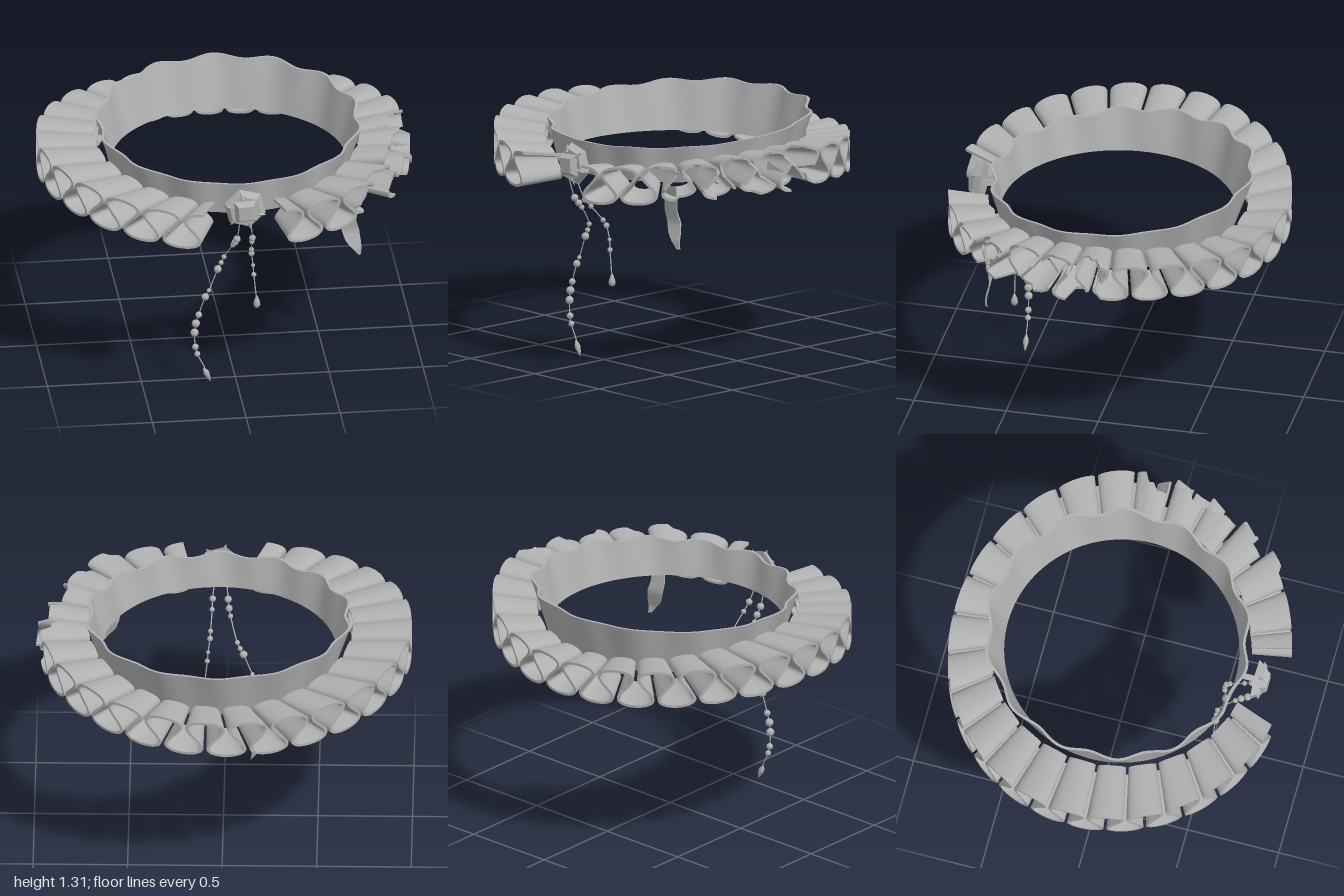
import * as THREE from 'three';
import { toCreasedNormals } from 'three/addons/utils/BufferGeometryUtils.js';

const V = (x, y, z) => new THREE.Vector3(x, y, z);
const RAD = Math.PI / 180;

// Skin a run of four-cornered cross-sections (inner top, outer top, outer bottom, inner bottom)
function loft(rings, closed) {
  const pos = rings.flat().flatMap(p => [p.x, p.y, p.z]);
  const n = rings.length, idx = [];
  for (let i = 0; i < (closed ? n : n - 1); i++) {
    const k = (i + 1) % n;
    for (let j = 0; j < 4; j++) {
      const m = (j + 1) % 4;
      const a = i * 4 + j, b = i * 4 + m, c = k * 4 + m, d = k * 4 + j;
      idx.push(a, b, c, a, c, d);
    }
  }
  if (!closed) {
    const e = (n - 1) * 4;
    idx.push(0, 2, 1, 0, 3, 2, e, e + 1, e + 2, e, e + 2, e + 3);
  }
  const g = new THREE.BufferGeometry();
  g.setAttribute('position', new THREE.Float32BufferAttribute(pos, 3));
  g.setIndex(idx);
  return toCreasedNormals(g, 0.7);
}

// Flat facets
function faceted(g) {
  const flat = g.toNonIndexed();
  flat.computeVertexNormals();
  return flat;
}

// Repeatable value from 0 to 1
const noise = n => {
  const s = Math.sin(n * 127.1 + 3.7) * 43758.5453;
  return s - Math.floor(s);
};

export function createModel() {
  const model = new THREE.Group();
  model.name = 'ruffCollar';
  const grey = new THREE.MeshStandardMaterial({ color: 0xb0b0b0, side: THREE.DoubleSide });
  grey.name = 'plain grey';
  const add = (name, geometry, parent = model) => {
    const mesh = new THREE.Mesh(geometry, grey);
    mesh.name = name;
    parent.add(mesh);
    return mesh;
  };

  // Neck band: round at the bottom, flared and wavy at the top, taller at the back
  const bandRings = [];
  for (let i = 0; i < 180; i++) {
    const t = i / 180 * Math.PI * 2, s = Math.sin(t), c = Math.cos(t);
    const wave = Math.cos(14 * t);
    const rTop = 0.68 - 0.022 * c + 0.017 * wave;
    const yTop = 1.262 - 0.045 * c + 0.006 * wave;
    const at = (r, y) => V(0.025 + s * r, y, c * r);
    bandRings.push([at(rTop, yTop), at(rTop + 0.014, yTop), at(0.635, 1.035), at(0.622, 1.035)]);
  }
  add('neckBand', loft(bandRings, true));

  // Ruff: one ribbon folded into figure-eight loops, open at the front and torn at its left side
  const PLEATS = 25, N = PLEATS * 36, HALF = 0.007;
  const start = 14 * RAD, sweep = 334 * RAD;
  const fold = f => {
    const p = f * PLEATS * Math.PI * 2;
    return [start + sweep * (p + 1.85 * Math.sin(2 * p)) / (PLEATS * Math.PI * 2), Math.cos(p)];
  };
  const ruffRings = [];
  for (let i = 0; i <= N; i++) {
    const f = i / N;
    const [a, h] = fold(f), [a0, h0] = fold(f - 0.0001), [a1, h1] = fold(f + 0.0001);
    const nrm = new THREE.Vector2(-(h1 - h0) * 0.09, (a1 - a0) * 0.85).normalize();
    const deg = a / RAD;
    const torn = deg > 40 && deg < 97;
    const chunk = Math.floor(i / 6);
    const tear = torn ? 0.87 + 0.16 * noise(chunk) : 1;
    const lift = torn ? 0.03 * (noise(chunk + 50) - 0.5) : 0;
    const at = (rx, rz, amp, side, shift) => {
      const t = a + side * nrm.x * HALF / 0.85;
      const y = 1.083 - 0.039 * Math.cos(2 * t) + amp * h + side * nrm.y * HALF;
      return V(rx * Math.sin(t) + shift, y, rz * Math.cos(t));
    };
    const outer = side => {
      const p = at(0.985 * tear, 0.905 * tear, 0.097, side, -0.012);
      p.y += lift;
      return p;
    };
    const inner = side => at(0.7, 0.69, 0.068, side, 0.015);
    ruffRings.push([inner(1), outer(1), outer(-1), inner(-1)]);
  }
  add('pleatedRuff', loft(ruffRings, false));

  // Loose shards of torn cloth
  for (const [deg, r, y, tilt] of [[84, 0.91, 1.12, 0.4], [62, 0.88, 1.08, 0.7], [51, 0.81, 1.13, -0.3]]) {
    const shard = add('tornShard', faceted(new THREE.ConeGeometry(0.04, 0.14, 3)));
    shard.scale.z = 0.35;
    shard.position.set(r * Math.sin(deg * RAD), y, r * Math.cos(deg * RAD));
    shard.rotation.set(tilt, (deg - 90) * RAD, -Math.PI / 2, 'YXZ');
  }

  // Hanging strip of cloth: centre x, y, z and half width
  const strip = [
    [0.63, 1.06, 0.60, 0.03], [0.608, 0.99, 0.585, 0.042], [0.596, 0.92, 0.572, 0.042],
    [0.607, 0.86, 0.562, 0.047], [0.622, 0.80, 0.572, 0.04], [0.64, 0.76, 0.58, 0.024], [0.655, 0.72, 0.575, 0.006]
  ];
  const curve = new THREE.CatmullRomCurve3(strip.map(p => V(p[0], p[1], p[2])));
  const stripRings = [];
  for (let i = 0; i <= 36; i++) {
    const q = i / 36 * (strip.length - 1), k = Math.min(Math.floor(q), strip.length - 2);
    const w = THREE.MathUtils.lerp(strip[k][3], strip[k + 1][3], q - k);
    const p = curve.getPoint(i / 36);
    const corner = (x, z) => V(p.x + x, p.y, p.z + z);
    stripRings.push([corner(-w, 0.004), corner(-w, -0.004), corner(w, -0.012), corner(w, -0.004)]);
  }
  add('hangingStrip', loft(stripRings, false));

  // Brooch: faceted setting, raised square stone and small corner claws
  const brooch = new THREE.Group();
  brooch.name = 'brooch';
  brooch.position.set(0.025, 1.105, 0.752);
  brooch.rotation.z = 0.25;
  model.add(brooch);
  const setting = add('setting', faceted(new THREE.CylinderGeometry(0.09, 0.115, 0.04, 6)), brooch);
  setting.rotation.x = Math.PI / 2;
  const stone = add('stone', faceted(new THREE.CylinderGeometry(0.055, 0.085, 0.035, 4)), brooch);
  stone.rotation.set(Math.PI / 2, 0.6, 0);
  stone.position.z = 0.035;
  for (let i = 0; i < 6; i++) {
    const t = i * Math.PI / 3;
    const claw = add('claw', faceted(new THREE.ConeGeometry(0.018, 0.045, 4)), brooch);
    claw.position.set(Math.sin(t) * 0.092, Math.cos(t) * 0.092, 0.012);
    claw.rotation.z = -t;
  }
  add('linkToBand', new THREE.BoxGeometry(0.03, 0.03, 0.1), brooch).position.z = -0.055;

  // Bead strings: depth follows height, falling back to hang straight down
  const depth = y => {
    const k = [[0, 0.545], [0.73, 0.545], [0.78, 0.575], [0.85, 0.64], [0.91, 0.70], [1.05, 0.76]];
    const i = Math.max(1, k.findIndex(([top]) => y <= top));
    return THREE.MathUtils.mapLinear(y, k[i - 1][0], k[i][0], k[i - 1][1], k[i][1]);
  };
  const beadString = (name, points) => {
    const g = new THREE.Group();
    g.name = name;
    model.add(g);
    const path = new THREE.CatmullRomCurve3(points.map(([x, y]) => V(x, y, depth(y))));
    add('thread', new THREE.TubeGeometry(path, 80, 0.0035, 6), g);
    for (const [x, y, r] of points) {
      if (r) add('bead', new THREE.SphereGeometry(r, 14, 10), g).position.set(x, y, depth(y));
    }
    return g;
  };
  const longString = beadString('longBeadString', [
    [-0.005, 1.02, 0], [-0.014, 0.91, 0.02], [-0.02, 0.875, 0.019], [-0.028, 0.845, 0.014], [-0.065, 0.735, 0.014],
    [-0.08, 0.70, 0.014], [-0.098, 0.663, 0.021], [-0.145, 0.54, 0.012], [-0.165, 0.503, 0.02], [-0.2, 0.4, 0.018],
    [-0.215, 0.35, 0.022], [-0.222, 0.296, 0.022], [-0.217, 0.212, 0.018], [-0.207, 0.17, 0.016], [-0.168, 0.09, 0]
  ]);
  const shortString = beadString('shortBeadString', [
    [0.055, 1.02, 0], [0.068, 0.912, 0.018], [0.07, 0.87, 0.014], [0.077, 0.785, 0.014],
    [0.08, 0.752, 0.016], [0.09, 0.675, 0.011], [0.094, 0.62, 0.014], [0.107, 0.49, 0]
  ]);

  // Pointed end of the long string and drop of the short one
  const turned = pts => new THREE.LatheGeometry(pts.map(([r, y]) => new THREE.Vector2(r, y)), 14);
  const tip = add('pointedEnd', turned([[0, 0], [0.01, 0.03], [0.016, 0.055], [0.013, 0.07], [0.005, 0.09], [0, 0.095]]), longString);
  tip.position.set(-0.135, 0.003, 0.545);
  tip.rotation.z = 0.42;
  const drop = add('drop', turned([[0, 0], [0.012, 0.004], [0.019, 0.018], [0.017, 0.034], [0.008, 0.06], [0, 0.075]]), shortString);
  drop.position.set(0.11, 0.425, 0.545);

  return model;
}
